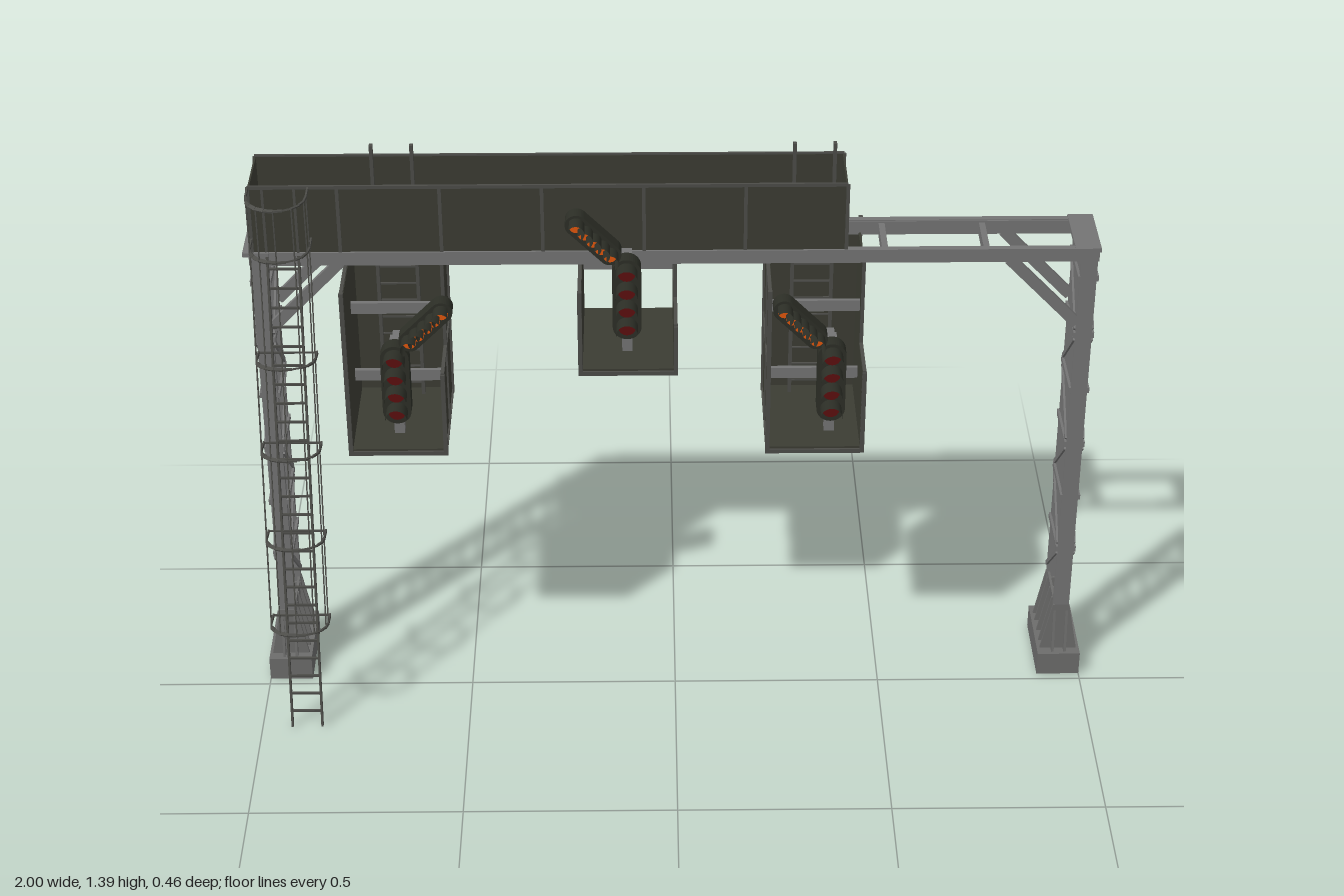
import * as THREE from 'three';

const mat = (name, color, side = THREE.FrontSide) => {
  const m = new THREE.MeshStandardMaterial({ color, side });
  m.name = name;
  return m;
};
const steel = mat('grey steel', 0x747474);
const concrete = mat('footing grey', 0x6c6c6b);
const panel = mat('dark mesh panel', 0x3b3c33);
const rail = mat('dark rail', 0x4c4c48);
const housing = mat('signal housing', 0x2c2e26, THREE.DoubleSide);
const orange = mat('orange lens', 0xe0560c);
const red = mat('dark red lens', 0x5c0e0e);

const ZF = -0.055, ZB = -0.19, ZC = -0.1225; // front, back and middle of the truss
const V = (x, y, z) => new THREE.Vector3(x, y, z);

function add(parent, name, geo, material) {
  const m = new THREE.Mesh(geo, material);
  m.name = name;
  parent.add(m);
  return m;
}
// Box given by its min and max on each axis
function box(parent, name, material, x0, x1, y0, y1, z0, z1) {
  const m = add(parent, name, new THREE.BoxGeometry(x1 - x0, y1 - y0, z1 - z0), material);
  m.position.set((x0 + x1) / 2, (y0 + y1) / 2, (z0 + z1) / 2);
  return m;
}
// Straight bar between two points
function bar(parent, name, material, a, b, w, d = w) {
  const dir = b.clone().sub(a);
  const m = add(parent, name, new THREE.BoxGeometry(w, dir.length(), d), material);
  m.position.copy(a).add(b).multiplyScalar(0.5);
  m.quaternion.setFromUnitVectors(V(0, 1, 0), dir.normalize());
  return m;
}
function group(parent, name) {
  const g = new THREE.Group();
  g.name = name;
  parent.add(g);
  return g;
}
function plate(points, depth) {
  const shape = new THREE.Shape(points.map(p => new THREE.Vector2(...p)));
  return new THREE.ExtrudeGeometry(shape, { depth, bevelEnabled: false });
}

// Lattice column with its footing
function column(root, s) {
  const g = group(root, 'column');
  const X = s * 0.948;
  // hollow footing
  box(g, 'footingTop', concrete, X - 0.052, X + 0.052, 0.045, 0.06, -0.225, -0.02);
  for (const k of [-1, 1]) {
    box(g, 'footingSide', concrete, X + k * 0.044 - 0.008, X + k * 0.044 + 0.008, 0, 0.046, -0.225, -0.02);
    const z = ZC + k * 0.0945;
    box(g, 'footingEnd', concrete, X - 0.04, X + 0.04, 0, 0.046, z - 0.008, z + 0.008);
  }
  // base plates and ribs
  for (const k of [-1, 1]) {
    const web = add(g, 'basePlate', plate([[-0.094, 0.06], [0.094, 0.06], [0.073, 0.195], [-0.073, 0.195]], 0.006), concrete);
    web.rotation.y = -Math.PI / 2;
    web.position.set(X + k * 0.015 + 0.003, 0, ZC);
  }
  for (const z of [ZB - 0.006, ZB + 0.025, ZC, ZF - 0.025, ZF + 0.006]) {
    const rib = add(g, 'baseRib', plate([[-0.045, 0.06], [0.045, 0.06], [0.02, 0.19], [-0.02, 0.19]], 0.006), concrete);
    rib.position.set(X, 0, z - 0.003);
  }
  for (const z of [ZB, ZF]) box(g, 'leg', steel, X - 0.019, X + 0.019, 0.06, 1.18, z - 0.008, z + 0.008);
  // lacing on both faces
  for (const k of [-1, 1]) {
    const x = X + k * 0.021;
    for (let i = 0; i < 6; i++) {
      const y = 0.355 + i * 0.15;
      box(g, 'lacingStrut', steel, x - 0.003, x + 0.003, y - 0.007, y + 0.007, ZB - 0.008, ZF + 0.008);
      const [za, zb] = i % 2 ? [ZF, ZB] : [ZB, ZF];
      bar(g, 'lacingDiagonal', steel, V(x, y - 0.138, za), V(x, y - 0.012, zb), 0.005, 0.011);
    }
  }
  box(g, 'columnCap', steel, X - 0.035, X + 0.024, 1.178, 1.188, ZB - 0.016, ZF + 0.016);
  // knee braces under the beams
  for (const z of [ZB, ZF]) bar(g, 'kneeBrace', steel, V(s * 0.93, 0.985, z), V(s * 0.765, 1.155, z), 0.026, 0.012);
}

// Cage hung under the walkway: full wall on -x, cut-down wall on +x
function cage(root, x0, x1, y0, closed) {
  const g = group(root, closed ? 'signalCage' : 'smallSignalCage');
  const zb = -0.208, zf = 0.072, top = 1.155, t = 0.005, zm = -0.06;
  const mid = closed ? 0.93 : 1.055;
  box(g, 'cageFloor', panel, x0, x1, y0 + 0.004, y0 + 0.01, zb, zf);
  box(g, 'fullSideWall', panel, x0, x0 + t, y0, 1.14, zb, zf);
  box(g, 'lowSideWall', panel, x1 - t, x1, y0, mid, zb, zf);
  for (const x of [x0, x1]) {
    box(g, 'backPost', rail, x - 0.005, x + 0.005, y0 - 0.005, 1.185, zb - 0.005, zb + 0.005);
    box(g, 'frontPost', rail, x - 0.005, x + 0.005, y0 - 0.005, x === x0 ? 1.145 : mid, zf - 0.005, zf + 0.005);
    box(g, 'middlePost', rail, x - 0.004, x + 0.004, y0, top, zm - 0.005, zm + 0.005);
    box(g, 'sideRail', rail, x - 0.004, x + 0.004, mid - 0.004, mid + 0.004, zb, zf);
    box(g, 'floorRail', rail, x - 0.004, x + 0.004, y0 - 0.004, y0 + 0.004, zb, zf);
  }
  box(g, 'topRail', rail, x0 - 0.004, x0 + 0.004, 1.137, 1.145, zb, zf);
  for (const z of [zb, zm, zf]) box(g, 'crossRail', rail, x0, x1, y0 - 0.005, y0 + 0.005, z - 0.005, z + 0.005);
  const xm = (x0 + x1) / 2;
  if (closed) {
    box(g, 'backWall', panel, x0, x1, y0, 1.18, zb, zb + t);
    box(g, 'upperSideWall', panel, x1 - t, x1, mid, top, zb, zm);
    box(g, 'backRail', rail, x0, x1, mid - 0.004, mid + 0.004, zb - 0.004, zb);
    box(g, 'backCentrePost', rail, xm - 0.004, xm + 0.004, y0, 1.18, zb - 0.004, zb);
    for (const y of [0.85, 1.03]) box(g, 'mountingRail', steel, x0 + 0.006, x1 - 0.006, y - 0.014, y + 0.014, -0.07, -0.06);
    // access ladder from the walkway
    const lx = x0 + 0.062, w = 0.092;
    for (const x of [lx, lx + w]) box(g, 'accessLadderRail', rail, x - 0.004, x + 0.004, y0, 1.39, -0.186, -0.172);
    for (let y = y0 + 0.04; y < 1.16; y += 0.045) box(g, 'accessLadderRung', rail, lx, lx + w, y - 0.002, y + 0.002, -0.181, -0.177);
  } else {
    box(g, 'backRail', steel, x0, x1, 1.05, 1.066, zb - 0.005, zb + 0.005);
    box(g, 'backCentrePost', steel, xm - 0.005, xm + 0.005, y0, 1.15, zb - 0.005, zb + 0.005);
  }
}

// Row of lamps in a round-ended case, with a visor over each lamp
function lampRow(parent, name, a, b, count, r, lens, z, up) {
  const g = group(parent, name);
  const dx = b[0] - a[0], dy = b[1] - a[1], len = Math.hypot(dx, dy), R = r * 1.65;
  const shape = new THREE.Shape();
  shape.absarc(0, 0, R, Math.PI / 2, Math.PI * 1.5, false);
  shape.absarc(len, 0, R, -Math.PI / 2, Math.PI / 2, false);
  const body = add(g, 'case', new THREE.ExtrudeGeometry(shape, { depth: 0.036, bevelEnabled: false, curveSegments: 10 }), housing);
  body.position.set(a[0], a[1], z);
  body.rotation.z = Math.atan2(dy, dx);
  for (let i = 0; i < count; i++) {
    const x = a[0] + dx * i / (count - 1), y = a[1] + dy * i / (count - 1);
    const lamp = add(g, 'lens', new THREE.CylinderGeometry(r, r, 0.006, 16), lens);
    lamp.rotation.x = Math.PI / 2;
    lamp.position.set(x, y, z + 0.038);
    // cylinder axis turned to z, arc centred on the 'up' angle
    const visor = new THREE.CylinderGeometry(r * 1.25, r * 1.25, 0.042, 14, 1, true, -Math.PI * 0.55, Math.PI * 1.1);
    visor.rotateX(Math.PI / 2).rotateZ(Math.PI / 2 + up);
    add(g, 'visor', visor, housing).position.set(x, y, z + 0.056);
  }
}

function signal(root, x, y, dir, z, postBase) {
  const g = group(root, 'signal');
  lampRow(g, 'mainLamps', [x, y], [x, y + 0.14], 4, 0.02, red, z, Math.PI / 2);
  const ax = x + dir * 0.037, ay = y + 0.186;
  lampRow(g, 'armLamps', [ax, ay], [ax + dir * 0.075, ay + 0.075], 5, 0.0155, orange, z, Math.PI / 2 + dir * Math.PI / 4);
  box(g, 'signalPost', steel, x - 0.012, x + 0.012, postBase, y + 0.17, z - 0.026, z - 0.002);
  bar(g, 'armBracket', housing, V(x, y + 0.13, z - 0.004), V(ax + dir * 0.04, ay + 0.04, z - 0.004), 0.02, 0.012);
  bar(g, 'postBracket', steel, V(x, y + 0.15, z - 0.01), V(x, y + 0.15, -0.06), 0.018);
}

// Open-topped walkway above the beams
function walkway(root) {
  const g = group(root, 'walkway');
  const x0 = -0.96, x1 = 0.39, y0 = 1.187, y1 = 1.352, zb = -0.2, zf = -0.046;
  box(g, 'frontScreen', panel, x0, x1, y0, y1, zf - 0.004, zf);
  box(g, 'backScreen', panel, x0, x1, y0, y1, zb, zb + 0.004);
  for (const x of [x0, x1 - 0.004]) box(g, 'endScreen', panel, x, x + 0.004, y0, y1, zb, zf);
  for (const [a, b] of [[x0, -0.71], [-0.58, 0.243], [0.377, x1]]) box(g, 'deck', panel, a, b, y0, y0 + 0.006, zb, zf);
  for (const z of [zb, zf]) {
    box(g, 'handrail', rail, x0, x1, y1 - 0.004, y1 + 0.004, z - 0.003, z + 0.003);
    for (let i = 0; i < 7; i++) {
      const x = Math.max(x0, x1 - i * 0.23);
      box(g, 'screenPost', rail, x - 0.004, x + 0.004, y0, y1, z - 0.003, z + 0.003);
    }
  }
}

// Sloping ladder with safety hoops
function hoopLadder(root) {
  const g = group(root, 'hoopLadder');
  const cx = -0.892, hw = 0.036, R = 0.0675, reach = 0.115;
  const zAt = y => 0.17 - 0.187 * y;
  for (const s of [-1, 1]) {
    bar(g, 'ladderRail', rail, V(cx + s * hw, 0, zAt(0)), V(cx + s * hw, 1.18, zAt(1.18)), 0.005, 0.012);
    box(g, 'ladderGrip', rail, cx + s * hw - 0.003, cx + s * hw + 0.003, 1.17, 1.352, -0.052, -0.044);
  }
  for (let y = 0.04; y < 1.18; y += 0.046) box(g, 'rung', rail, cx - hw, cx + hw, y - 0.0025, y + 0.0025, zAt(y) - 0.0025, zAt(y) + 0.0025);
  // hoop outline as [sideways, outward]
  const outline = [[-R, 0]];
  for (let i = 0; i <= 10; i++) {
    const a = Math.PI * (1 - i / 10);
    outline.push([Math.cos(a) * R, reach - R + Math.sin(a) * R]);
  }
  outline.push([R, 0]);
  const tilted = (y, [u, w]) => V(cx + u, y + w * 0.184, zAt(y) + w * 0.983);
  const level = (y, [u, w]) => V(cx + u, y, -0.05 + w);
  const hoop = at => {
    for (let i = 1; i < outline.length; i++) bar(g, 'hoop', rail, at(outline[i - 1]), at(outline[i]), 0.004, 0.009);
    bar(g, 'hoopTie', rail, at(outline[0]), at(outline.at(-1)), 0.004);
  };
  for (const y of [0.29, 0.505, 0.725, 0.945]) hoop(p => tilted(y, p));
  for (const y of [1.22, 1.35]) hoop(p => level(y, p));
  for (const p of outline.filter((_, i) => i % 2 === 0 || i === 1 || i === 11).slice(1, -1)) {
    bar(g, 'cageBar', rail, tilted(0.29, p), tilted(1.13, p), 0.003);
    bar(g, 'cageBar', rail, tilted(1.13, p), level(1.22, p), 0.003);
    bar(g, 'cageBar', rail, level(1.22, p), level(1.352, p), 0.003);
  }
}

export function createModel() {
  const root = new THREE.Group();
  root.name = 'signalGantry';
  for (const s of [-1, 1]) column(root, s);
  // main beams and cross members
  const beams = group(root, 'beams');
  for (const z of [ZB, ZF]) {
    box(beams, 'beam', steel, -0.97, 0.97, 1.15, 1.184, z - 0.007, z + 0.007);
    const out = z === ZF ? 0.004 : -0.004;
    box(beams, 'beamFlange', steel, -0.97, 0.97, 1.178, 1.186, z + out - 0.008, z + out + 0.008);
  }
  for (let i = 0; i < 9; i++) {
    const x = 0.945 - i * 0.2325;
    box(beams, 'crossMember', steel, x - 0.007, x + 0.007, 1.152, 1.18, ZB, ZF);
  }
  walkway(root);
  cage(root, -0.753, -0.533, 0.72, true);
  cage(root, 0.213, 0.433, 0.72, true);
  cage(root, -0.217, 0.001, 0.933, false);
  signal(root, -0.644, 0.813, 1, 0.004, 0.72);
  signal(root, 0.36, 0.813, -1, 0.004, 0.72);
  signal(root, -0.11, 1.03, -1, -0.006, 0.933);
  hoopLadder(root);
  return root;
}
